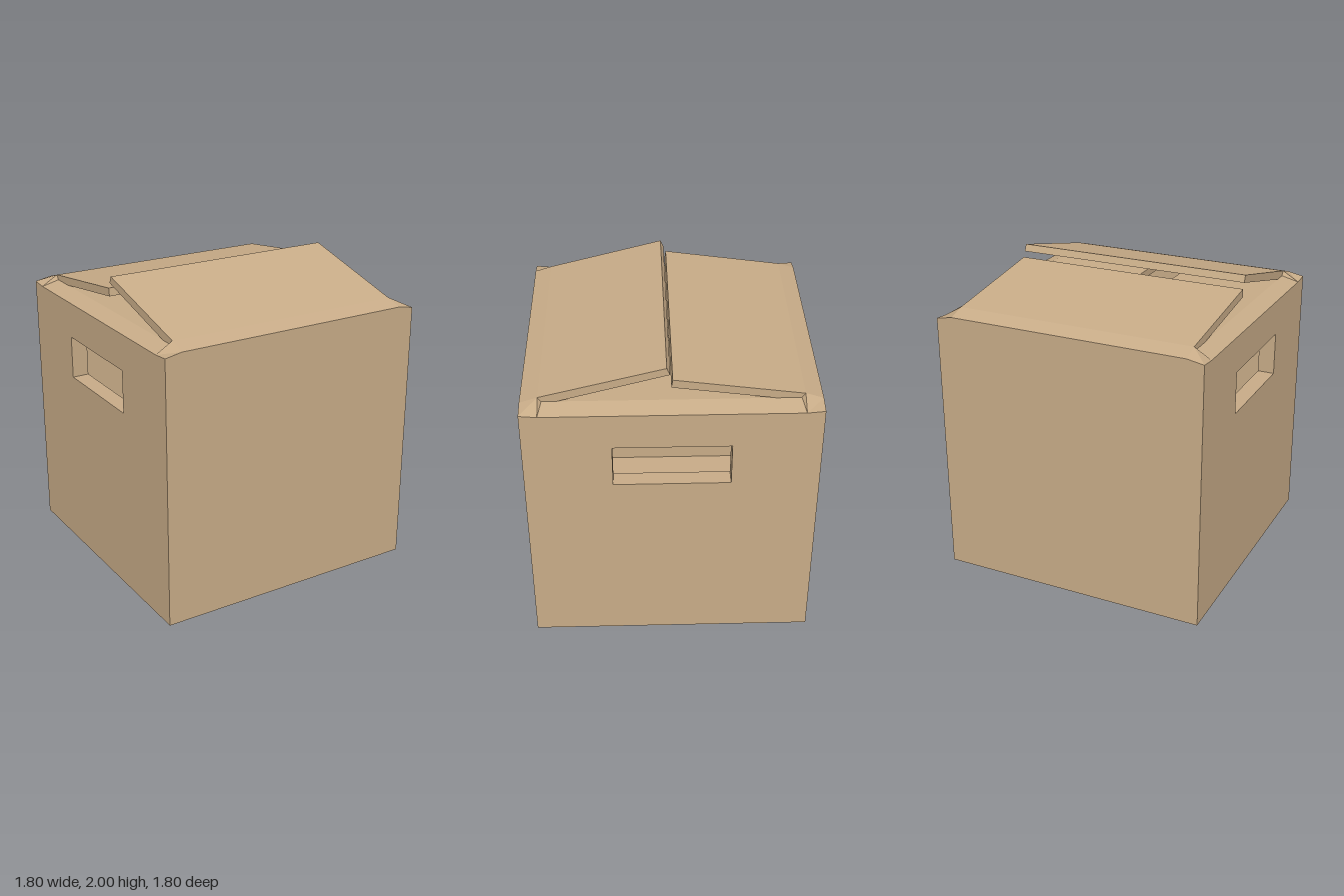
import * as THREE from 'three';

const HALF = 0.9, INNER = 0.79, WALL = HALF - INNER;
const card = new THREE.MeshStandardMaterial({ color: 0xc7ab87, flatShading: true, side: THREE.DoubleSide });

function addMesh(parent, name, geometry) {
  geometry.computeVertexNormals();
  const mesh = new THREE.Mesh(geometry, card);
  mesh.name = name;
  parent.add(mesh);
  return mesh;
}

function extrude(points, depth, hole) {
  const shape = new THREE.Shape(points.map(([x, y]) => new THREE.Vector2(x, y)));
  if (hole) shape.holes.push(new THREE.Path(hole.map(([x, y]) => new THREE.Vector2(x, y))));
  return new THREE.ExtrudeGeometry(shape, { depth, bevelEnabled: false });
}

// Raises the top edge of a wall by a rule: y = rule(x, y, z) for high vertices
function shapeTop(geometry, rule) {
  const p = geometry.attributes.position;
  for (let i = 0; i < p.count; i++) {
    if (p.getY(i) > 1.7) p.setY(i, rule(p.getX(i), p.getY(i), p.getZ(i)));
  }
  return geometry;
}

// Full-width wall with a folded top edge, facing +z
function endWall() {
  const g = extrude([[-HALF, 0], [HALF, 0], [HALF, 1.755], [INNER, 1.775], [-INNER, 1.775], [-HALF, 1.755]], WALL);
  g.translate(0, 0, INNER);
  return shapeTop(g, (x, y, z) => (z > 0.85 ? y : Math.abs(x) > 0.85 ? 1.745 : 1.81));
}

// Wall with a hand hole, turned to face +x
function sideWall() {
  const hole = [[-0.36, 1.23], [-0.36, 1.51], [0.36, 1.51], [0.36, 1.23]];
  const g = extrude([[-INNER, 0], [INNER, 0], [INNER, 1.745], [-INNER, 1.745]], WALL, hole);
  g.translate(0, 0, INNER).rotateY(Math.PI / 2);
  return shapeTop(g, (x) => (x > 0.85 ? 1.745 : 1.78));
}

// Flap given by its (z, y) section, running along x
function flap(section, halfLength) {
  return extrude(section.map(([z, y]) => [-z, y]), halfLength * 2)
    .translate(0, 0, -halfLength).rotateY(Math.PI / 2);
}

// Small triangle joining a flap end to the wall corner
function gusset(side) {
  const g = new THREE.BufferGeometry();
  const a = [side * HALF, 1.745, INNER], b = [side * INNER, 1.81, INNER], c = [side * INNER, 1.76, 0.755];
  const order = side > 0 ? [a, b, c] : [a, c, b];
  g.setAttribute('position', new THREE.Float32BufferAttribute(order.flat(), 3));
  return g;
}

export function createModel() {
  const box = new THREE.Group();
  box.name = 'cardboardBox';

  // Floor
  addMesh(box, 'floor', new THREE.BoxGeometry(INNER * 2, WALL, INNER * 2)).position.y = WALL / 2;

  // Front and back walls with their outer flaps
  const ends = [
    ['front', 0, [[INNER, 1.81], [0.03, 2.0], [0.01, 1.955], [0.755, 1.76]]],
    ['back', Math.PI, [[INNER, 1.81], [0.005, 1.918], [-0.003, 1.866], [0.76, 1.76]]],
  ];
  for (const [name, turn, section] of ends) {
    const end = new THREE.Group();
    end.name = name + 'End';
    end.rotation.y = turn;
    addMesh(end, name + 'Wall', endWall());
    addMesh(end, name + 'Flap', flap(section, INNER));
    for (const s of [-1, 1]) addMesh(end, name + 'FlapGusset', gusset(s));
    box.add(end);
  }

  // Left and right walls with their inner flaps, which leave a gap in the middle
  for (const [name, turn] of [['left', 0], ['right', Math.PI]]) {
    const side = new THREE.Group();
    side.name = name + 'Side';
    side.rotation.y = turn;
    addMesh(side, name + 'Wall', sideWall());
    const inner = flap([[INNER, 1.78], [0.12, 1.765], [0.12, 1.715], [INNER, 1.73]], 0.785);
    addMesh(side, name + 'InnerFlap', inner.rotateY(Math.PI / 2));
    box.add(side);
  }
  return box;
}
